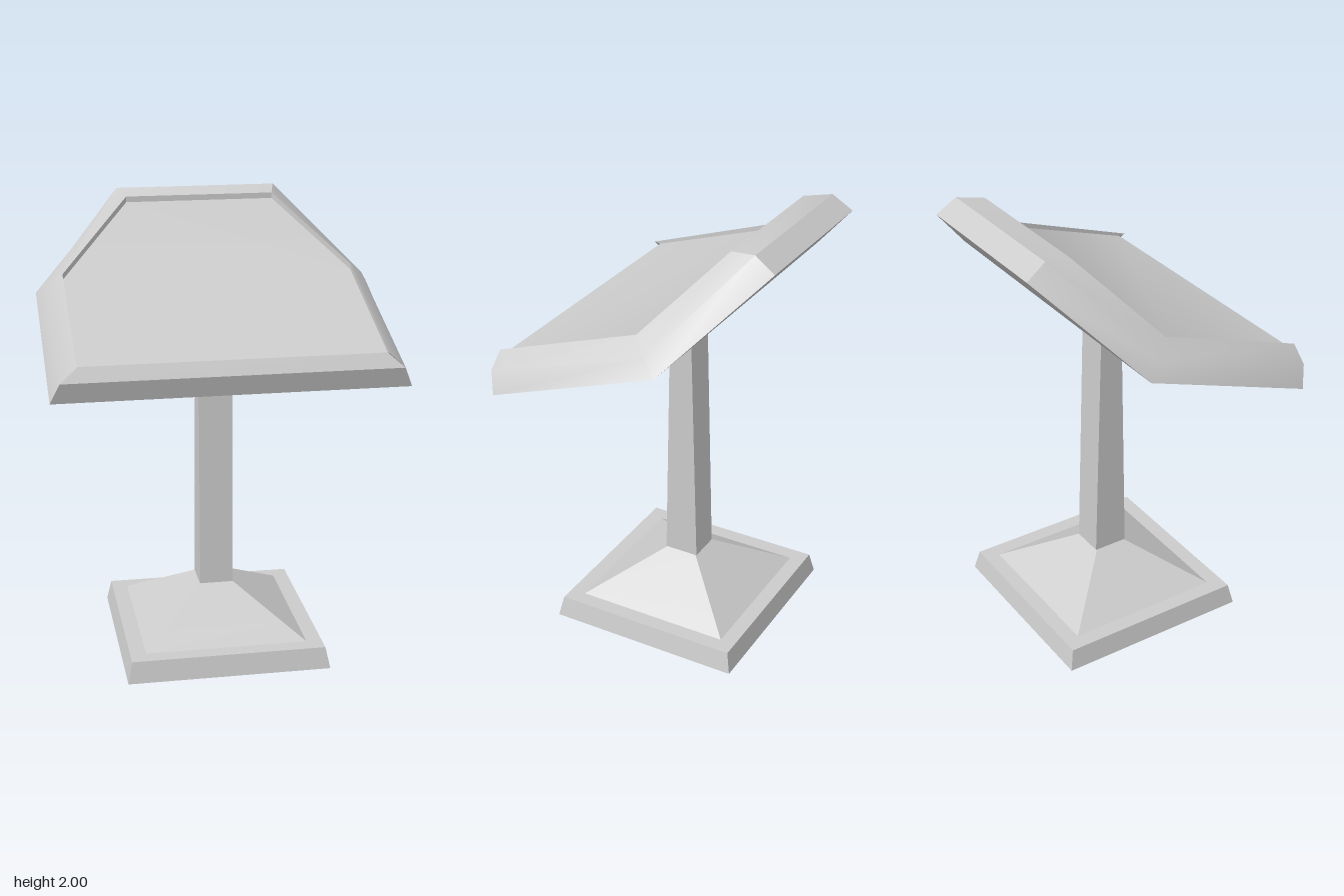
import * as THREE from 'three';
import { toCreasedNormals } from 'three/addons/utils/BufferGeometryUtils.js';

const material = new THREE.MeshStandardMaterial({ color: 0xcccccc, side: THREE.DoubleSide });

// Builds a creased mesh from polygons (lists of points, counter-clockwise).
function polyMesh(name, polygons, crease) {
  const positions = [];
  for (const p of polygons) {
    for (let i = 1; i < p.length - 1; i++) positions.push(...p[0], ...p[i], ...p[i + 1]);
  }
  const geometry = new THREE.BufferGeometry();
  geometry.setAttribute('position', new THREE.Float32BufferAttribute(positions, 3));
  const mesh = new THREE.Mesh(toCreasedNormals(geometry, crease), material);
  mesh.name = name;
  return mesh;
}

// Walls between two loops, lower to upper; count can leave the last span open.
function band(a, b, count = a.length) {
  const quads = [];
  for (let i = 0; i < count; i++) {
    const j = (i + 1) % a.length;
    quads.push([a[i], a[j], b[j], b[i]]);
  }
  return quads;
}

// Rectangular loop with separate heights for its front and back edges.
const rect = (x, front, back, yFront, yBack = yFront) => [
  [x, yFront, front], [x, yBack, back], [-x, yBack, back], [-x, yFront, front],
];

// Six-cornered loop mirrored from front, middle and back corners.
const mirrored = (half) => [...half, ...half.slice().reverse().map(([x, y, z]) => [-x, y, z])];

// The loop as two quads, folded across the middle corners.
const folded = (r) => [[r[0], r[1], r[4], r[5]], [r[1], r[2], r[3], r[4]]];

function createBase() {
  const c = 0.02;
  const steps = [[0.45, 0], [0.43, 0.095], [0.36, 0.095], [0.27, 0.155], [0.075, 0.285]];
  const rings = steps.map(([h, y]) => rect(h, c + h, c - h, y));
  const faces = [];
  for (let i = 0; i < rings.length - 1; i++) faces.push(...band(rings[i], rings[i + 1]));
  return polyMesh('base', faces, 0.3);
}

function createPost() {
  const foot = rect(0.075, 0.1, -0.06, 0.285);
  const head = rect(0.075, 0.07, -0.03, 1.48, 1.515);
  return polyMesh('post', band(foot, head), 0.3);
}

function createTop() {
  const under = mirrored([[0.75, 1.31, 0.53], [0.75, 1.585, -0.24], [0.37, 1.94, -0.56]]);
  const edge = mirrored([[0.71, 1.4, 0.56], [0.71, 1.64, -0.175], [0.36, 2.0, -0.47]]);
  const lip = mirrored([[0.64, 1.465, 0.56], [0.64, 1.695, -0.1], [0.33, 1.98, -0.35]]);
  const floor = mirrored([[0.64, 1.46, 0.53], [0.64, 1.67, -0.1], [0.33, 1.955, -0.35]]);

  const rim = [
    ...band(under, edge),
    ...band(edge, lip, 5),
    ...band(lip, floor, 5),
    // low front edge between the rim ends
    [edge[5], edge[0], floor[0], floor[5]],
    [edge[0], lip[0], floor[0]],
    [edge[5], floor[5], lip[5]],
  ];
  const group = new THREE.Group();
  group.name = 'deskTop';
  group.add(
    polyMesh('rim', rim, 0.6),
    polyMesh('deskSurface', folded(floor), 0.6),
    polyMesh('underside', folded(under).map((q) => q.reverse()), 0.6),
  );
  return group;
}

export function createModel() {
  const model = new THREE.Group();
  model.name = 'lectern';
  model.add(createBase(), createPost(), createTop());
  return model;
}
